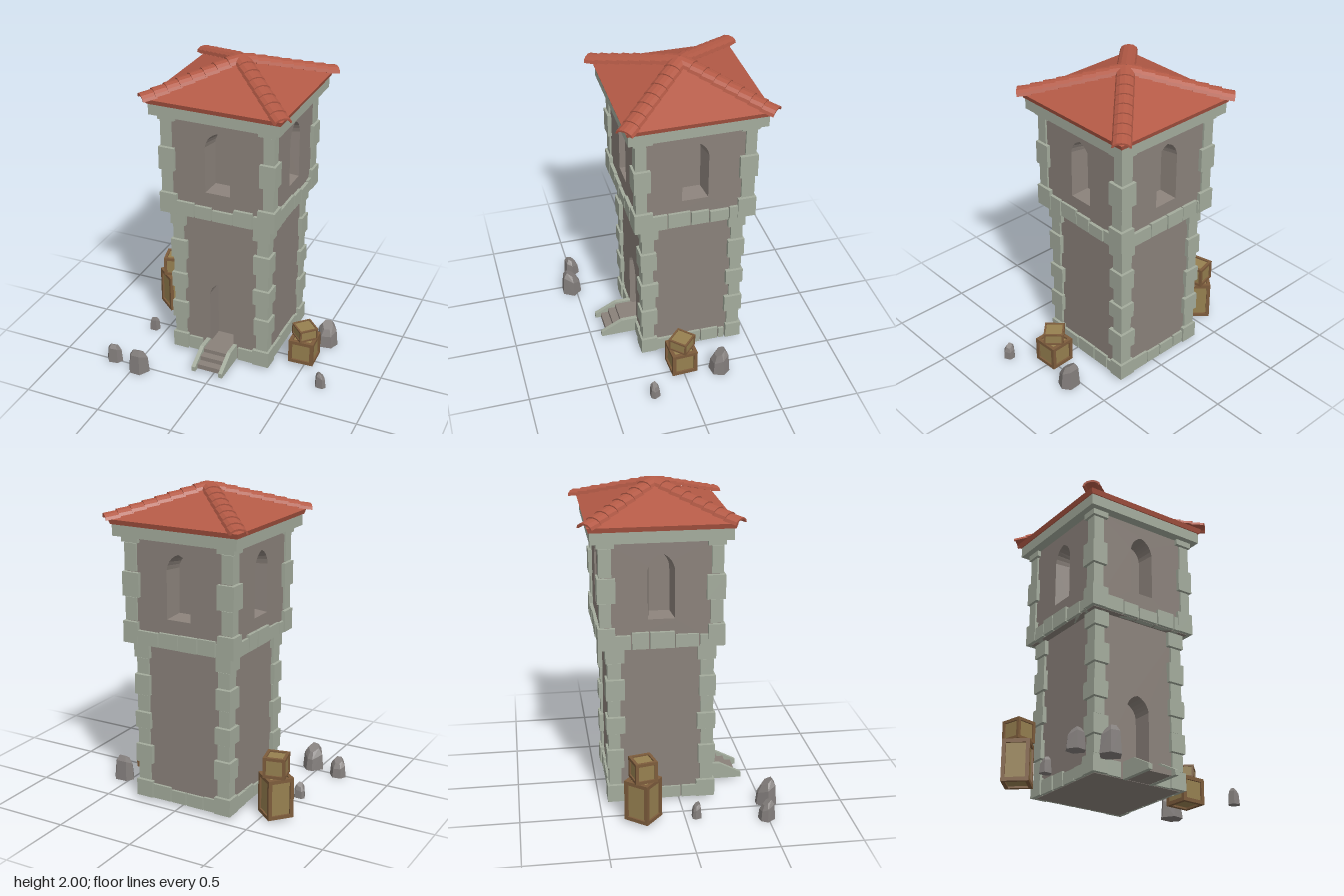
import * as THREE from 'three';
import { ConvexGeometry } from 'three/addons/geometries/ConvexGeometry.js';

const mat = (name, color) => Object.assign(new THREE.MeshStandardMaterial({ color }), { name });

export function createModel() {
  const plaster = mat('plaster', 0x8a817a);
  const stone = mat('paleStone', 0xa3ab9c);
  const tile = mat('roofTile', 0xb45a46);
  const frameWood = mat('frameWood', 0x7d5c3c);
  const panelWood = mat('panelWood', 0x968050);
  const rockGrey = mat('rockGrey', 0x837e7c);

  let seed = 7;
  const rnd = (a, b) => {
    seed = (seed * 16807) % 2147483647;
    return a + (b - a) * seed / 2147483647;
  };
  const add = (parent, name, geo, m, x = 0, y = 0, z = 0) => {
    const mesh = new THREE.Mesh(geo, m);
    mesh.name = name;
    mesh.position.set(x, y, z);
    parent.add(mesh);
    return mesh;
  };
  const box = (parent, name, m, sx, sy, sz, x, y, z) =>
    add(parent, name, new THREE.BoxGeometry(sx, sy, sz), m, x, y, z);
  const group = (parent, name, x = 0, y = 0, z = 0, ry = 0) => {
    const g = new THREE.Group();
    g.name = name;
    g.position.set(x, y, z);
    g.rotation.y = ry;
    parent.add(g);
    return g;
  };

  const model = new THREE.Group();
  model.name = 'watchtower';
  const tower = group(model, 'tower', -0.025, 0, -0.115);

  // Pointed arch outline: half width, bottom, spring line, top
  const arch = (w, b, s, t) => {
    const p = new THREE.Shape();
    p.moveTo(-w, b).lineTo(w, b).lineTo(w, s);
    p.quadraticCurveTo(w * 0.85, t - (t - s) * 0.25, 0, t);
    p.quadraticCurveTo(-w * 0.85, t - (t - s) * 0.25, -w, s);
    return p.getPoints(5);
  };
  // Wall face, optionally with a recessed niche
  const wall = (parent, half, y0, y1, outer, inner, depth) => {
    const s = new THREE.Shape([[-half, y0], [half, y0], [half, y1], [-half, y1]].map(p => new THREE.Vector2(...p)));
    if (outer) s.holes.push(new THREE.Path(outer));
    add(parent, 'wallFace', new THREE.ShapeGeometry(s), plaster, 0, 0, half);
    if (!outer) return;
    const v = [];
    outer.forEach((a, i) => {
      const j = (i + 1) % outer.length, b = outer[j], c = inner[j], d = inner[i];
      v.push(a.x, a.y, 0, b.x, b.y, 0, c.x, c.y, -depth, a.x, a.y, 0, c.x, c.y, -depth, d.x, d.y, -depth);
    });
    const g = new THREE.BufferGeometry();
    g.setAttribute('position', new THREE.Float32BufferAttribute(v, 3));
    g.computeVertexNormals();
    add(parent, 'nicheReveal', g, plaster, 0, 0, half);
    add(parent, 'nicheBack', new THREE.ShapeGeometry(new THREE.Shape(inner)), plaster, 0, 0, half - depth);
  };

  // Row of uneven stones along one wall
  const course = (parent, half, span, y0, hMin, hMax, doorway) => {
    let x = -span;
    while (x < span - 0.03) {
      const w = Math.min(rnd(0.1, 0.16), span - x);
      const h = rnd(hMin, hMax);
      if (!doorway || Math.abs(x + w / 2) > 0.13)
        box(parent, 'courseStone', stone, w - 0.008, h, 0.06, x + w / 2, y0 + h / 2, half - 0.03 + rnd(-0.006, 0));
      x += w;
    }
  };

  const LOW = 0.308, HIGH = 0.356;
  const door = arch(0.081, 0.1, 0.47, 0.56);
  const winOuter = arch(0.081, 1.22, 1.52, 1.62), winInner = arch(0.062, 1.237, 1.515, 1.6);
  for (let i = 0; i < 4; i++) {
    const side = group(tower, ['frontSide', 'leftSide', 'backSide', 'rightSide'][i], 0, 0, 0, i * Math.PI / 2);
    if (i === 0) wall(side, LOW, 0.02, 1.05, door, door, 0.13);
    else wall(side, LOW, 0.02, 1.05);
    wall(side, HIGH, 1.04, 1.71, winOuter, winInner, 0.11);
    course(side, 0.328, 0.23, 0.022, 0.07, 0.095, i === 0);
    course(side, 0.378, 0.29, 1.042, 0.07, 0.105, false);
  }
  box(tower, 'baseFloor', plaster, LOW * 2 - 0.004, 0.02, LOW * 2 - 0.004, 0, 0.031, 0);
  box(tower, 'upperFloor', plaster, HIGH * 2 - 0.004, 0.02, HIGH * 2 - 0.004, 0, 1.052, 0);

  // Corner stones, alternating long and short
  const corners = (levels, out) => {
    for (const sx of [-1, 1]) for (const sz of [-1, 1]) {
      for (let k = 0; k < levels.length - 1; k++) {
        const y0 = levels[k], y1 = levels[k + 1], long = k % 2 === 0;
        const w = (long ? 0.108 : 0.075) + rnd(-0.008, 0.008);
        const d = (long ? 0.108 : 0.075) + rnd(-0.008, 0.008);
        const e = out - (long ? 0 : 0.012);
        box(tower, 'cornerStone', stone, w, y1 - y0 - 0.006, d, sx * (e - w / 2), (y0 + y1) / 2, sz * (e - d / 2));
      }
    }
  };
  corners([0.02, 0.135, 0.25, 0.375, 0.48, 0.59, 0.7, 0.835, 0.94, 1.04], 0.335);
  corners([1.04, 1.18, 1.33, 1.485, 1.66, 1.71], 0.38);

  // Cornice and roof
  box(tower, 'cornice', stone, 0.836, 0.07, 0.836, 0, 1.735, 0);
  const eave = add(tower, 'eave', new THREE.CylinderGeometry(0.435 * Math.SQRT2, 0.425 * Math.SQRT2, 0.03, 4).toNonIndexed(), tile, 0, 1.785, 0);
  const slopes = add(tower, 'roofSlopes', new THREE.ConeGeometry(0.435 * Math.SQRT2, 0.165, 4).toNonIndexed(), tile, 0, 1.8825, 0);
  for (const m of [eave, slopes]) {
    m.geometry.computeVertexNormals();
    m.rotation.y = Math.PI / 4;
  }

  // Curved ridge tiles, overlapping downhill
  const bow = new THREE.Shape();
  const R = 0.056, r = 0.044, H = 0.036, h = 0.024;
  for (let k = 0; k <= 6; k++) {
    const a = Math.PI * k / 6;
    bow[k ? 'lineTo' : 'moveTo'](R * Math.cos(a), H * Math.sin(a));
  }
  for (let k = 6; k >= 0; k--) bow.lineTo(r * Math.cos(Math.PI * k / 6), h * Math.sin(Math.PI * k / 6));
  const tileGeo = new THREE.ExtrudeGeometry(bow, { depth: 0.09, bevelEnabled: false });
  for (let i = 0; i < 4; i++) {
    const turn = group(tower, 'ridge', 0, 1.962, 0, Math.PI / 4 + i * Math.PI / 2);
    const ridge = group(turn, 'ridgeTiles');
    ridge.rotation.x = 0.262;
    for (let k = 0; k < 8; k++) {
      const t = add(ridge, 'ridgeTile', tileGeo, tile, 0, 0, k * 0.0805);
      t.rotation.x = -0.1;
    }
  }

  // Entrance stairs with sloped side walls
  const stairs = group(tower, 'stairs');
  [[0.055, 0.515], [0.085, 0.465], [0.112, 0.415]].forEach(([top, z]) =>
    box(stairs, 'step', plaster, 0.162, top - 0.022, z - 0.3, 0, (top + 0.022) / 2, (z + 0.3) / 2));
  const rail = new THREE.Shape([[0.3, 0.02], [0.55, 0.02], [0.55, 0.052], [0.41, 0.125], [0.3, 0.125]].map(p => new THREE.Vector2(...p)));
  const railGeo = new THREE.ExtrudeGeometry(rail, { depth: 0.026, bevelEnabled: false });
  for (const x of [-0.081, 0.107]) add(stairs, 'stairWall', railGeo, stone, x).rotation.y = -Math.PI / 2;

  // Crates: recessed panels inside a frame of beams
  const crate = (name, x, y, z, w, hgt, ry) => {
    const g = group(model, name, x, y + hgt / 2, z, ry);
    const b = Math.min(w, hgt) * 0.14, e = w / 2 - b / 2, f = hgt / 2 - b / 2;
    box(g, 'cratePanels', panelWood, w - b, hgt - b, w - b, 0, 0, 0);
    for (const p of [-1, 1]) for (const q of [-1, 1]) {
      box(g, 'uprightBeam', frameWood, b, hgt, b, p * e, 0, q * e);
      box(g, 'crossBeam', frameWood, w - 2 * b, b, b, 0, p * f, q * e);
      box(g, 'sideBeam', frameWood, b, b, w - 2 * b, q * e, p * f, 0);
    }
  };
  crate('tallCrate', -0.572, 0.02, -0.255, 0.165, 0.258, -0.7);
  crate('smallCrate', -0.572, 0.278, -0.255, 0.138, 0.132, 0.23);
  crate('wideCrate', 0.477, 0.018, 0.003, 0.165, 0.162, 0.04);
  crate('flatCrate', 0.477, 0.18, 0, 0.126, 0.08, 0.785);

  // Faceted rocks with a slanted top, highest toward angle a
  const rock = (x, z, sx, sz, hgt, a) => {
    const pts = [];
    for (let k = 0; k < 6; k++) {
      const t = k * Math.PI / 3 + rnd(-0.25, 0.25), c = Math.cos(t), s = Math.sin(t);
      const lean = 0.5 + 0.5 * Math.cos(t - a);
      pts.push(new THREE.Vector3(c * sx / 2, 0, s * sz / 2));
      pts.push(new THREE.Vector3(c * sx * 0.43, hgt * (0.45 + 0.35 * lean), s * sz * 0.43));
      pts.push(new THREE.Vector3(c * sx * 0.25, hgt * (0.72 + 0.28 * lean), s * sz * 0.25));
    }
    add(model, 'rock', new ConvexGeometry(pts), rockGrey, x, 0, z);
  };
  rock(0.553, -0.23, 0.145, 0.135, 0.17, -1.6);
  rock(0.672, 0.23, 0.078, 0.07, 0.105, 2.6);
  rock(-0.58, 0.07, 0.075, 0.07, 0.1, 1.2);
  rock(-0.657, 0.49, 0.115, 0.105, 0.13, 1.5);
  rock(-0.46, 0.53, 0.145, 0.135, 0.17, 1.5);
  return model;
}
